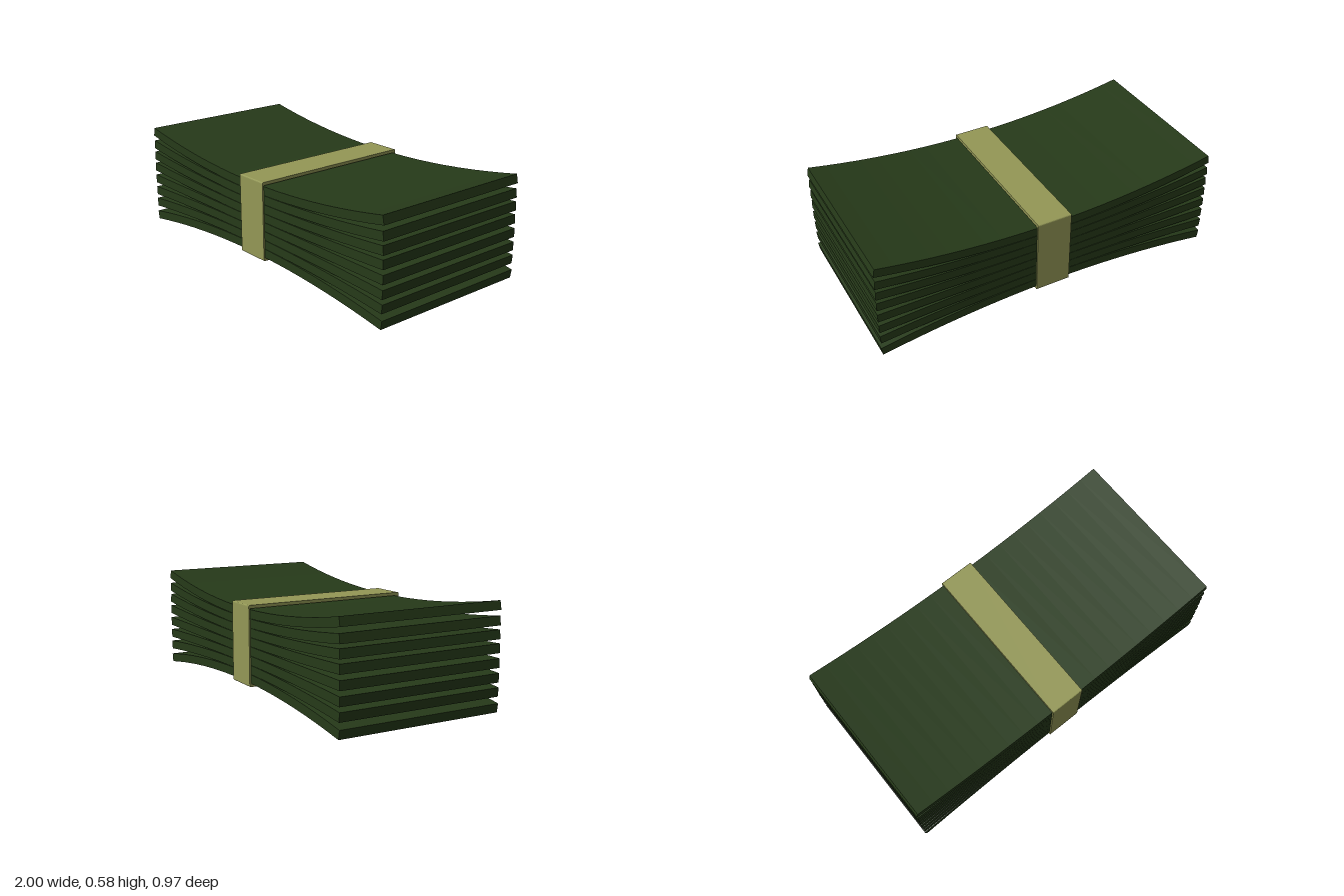
import * as THREE from 'three';

const green = new THREE.MeshStandardMaterial({ color: 0x263a19 });
const straw = new THREE.MeshStandardMaterial({ color: 0x949856 });

// Extrude a side profile symmetrically about its plane.
function extrudeCentred(shape, depth) {
  const geometry = new THREE.ExtrudeGeometry(shape, { depth, bevelEnabled: false, curveSegments: 4 });
  return geometry.translate(0, 0, -depth / 2);
}

// One sheet bundle: a parabola of constant thickness, ends cut square to the curve.
function sheetGeometry(midY, rise) {
  const segments = 20, half = 0.049 / 2;
  const reach = 1 - Math.abs(2 * rise) * half;
  const upper = [], lower = [];
  for (let i = 0; i <= segments; i++) {
    const t = (i / segments) * 2 - 1;
    const slope = 2 * rise * t / reach;
    const n = new THREE.Vector2(-slope, 1).normalize().multiplyScalar(half);
    const p = new THREE.Vector2(t * reach, midY + rise * t * t);
    upper.push(p.clone().add(n));
    lower.push(p.clone().sub(n));
  }
  return extrudeCentred(new THREE.Shape([...lower, ...upper.reverse()]), 0.948);
}

// Rectangle with small rounded corners, centred on the origin.
function roundedRect(path, w, h, r) {
  const x = w / 2, y = h / 2;
  path.moveTo(-x + r, -y);
  path.lineTo(x - r, -y);
  path.quadraticCurveTo(x, -y, x, -y + r);
  path.lineTo(x, y - r);
  path.quadraticCurveTo(x, y, x - r, y);
  path.lineTo(-x + r, y);
  path.quadraticCurveTo(-x, y, -x, y - r);
  path.lineTo(-x, -y + r);
  path.quadraticCurveTo(-x, -y, -x + r, -y);
  return path;
}

export function createModel() {
  const model = new THREE.Group();
  model.name = 'bandedStack';

  // Stack of sheets fanning apart towards both ends
  const stack = new THREE.Group();
  stack.name = 'sheets';
  const rises = [-0.083, -0.05, -0.026, 0, 0.026, 0.047, 0.067, 0.095];
  rises.forEach((rise, i) => {
    const sheet = new THREE.Mesh(sheetGeometry(0.109 + i * 0.0502, rise), green);
    sheet.name = `sheet${i + 1}`;
    stack.add(sheet);
  });
  model.add(stack);

  // Paper band wrapped around the middle
  const loop = roundedRect(new THREE.Shape(), 0.966, 0.444, 0.008);
  loop.holes.push(roundedRect(new THREE.Path(), 0.95, 0.408, 0.002));
  const band = new THREE.Mesh(extrudeCentred(loop, 0.2).rotateY(Math.PI / 2), straw);
  band.name = 'band';
  band.position.set(-0.005, 0.287, 0);
  model.add(band);

  return model;
}
